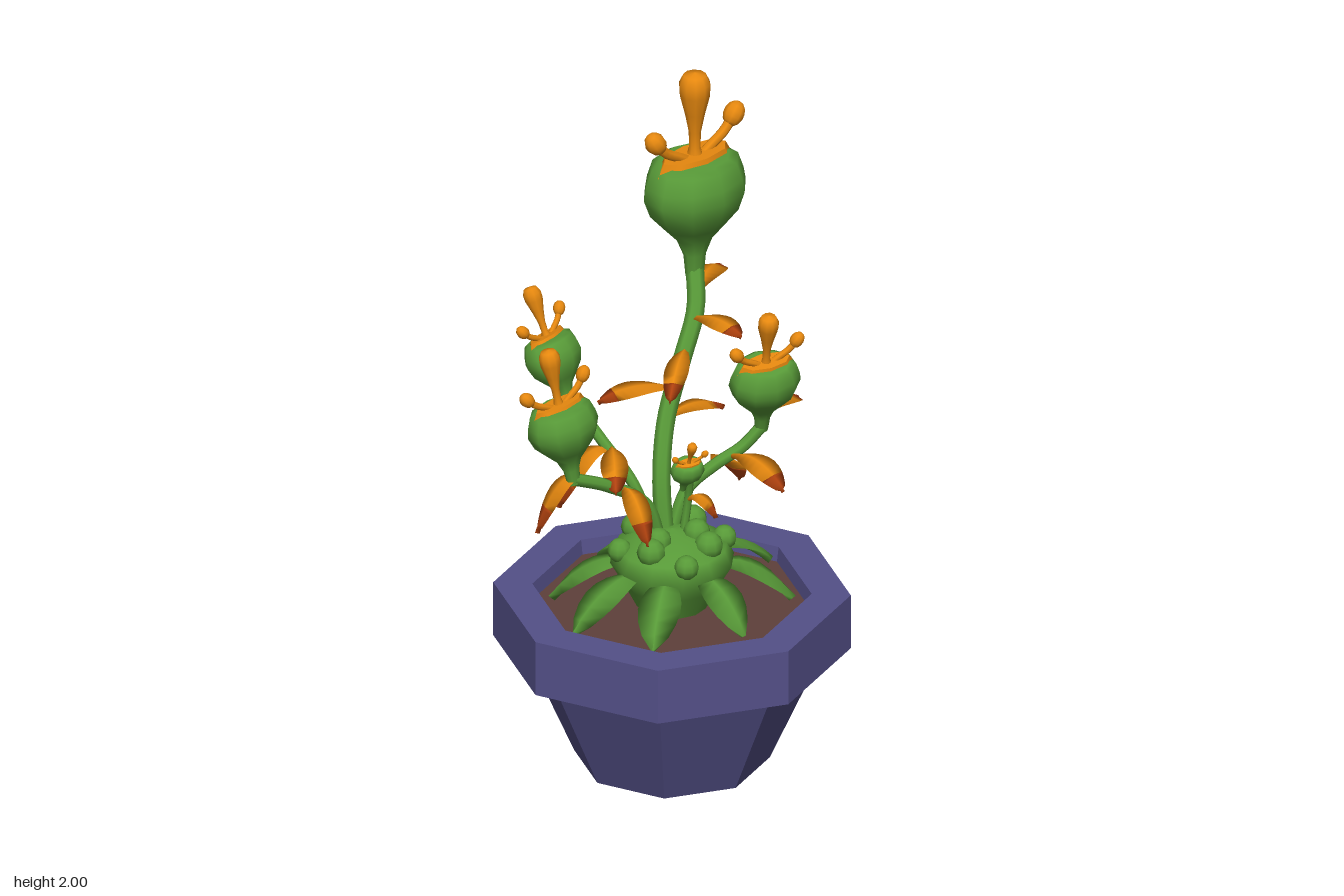
import * as THREE from 'three';

const mat = (name, color) => Object.assign(new THREE.MeshStandardMaterial({ color }), { name });
const V = (a) => new THREE.Vector3(...a);

export function createModel() {
  const root = new THREE.Group();
  root.name = 'pottedPlant';
  const potMat = mat('slate purple', 0x545088);
  const soilMat = mat('soil brown', 0x5e403a);
  const green = mat('leaf green', 0x589a38);
  const orange = mat('petal orange', 0xe6880f);
  const red = mat('tip red', 0xb0420f);

  const add = (parent, geo, material, name) => {
    const m = new THREE.Mesh(geo, material);
    m.name = name;
    parent.add(m);
    return m;
  };
  const lathe = (pts, n) => new THREE.LatheGeometry(pts.map((p) => new THREE.Vector2(...p)), n);
  const tube = (pts, r, n = 16) =>
    new THREE.TubeGeometry(new THREE.CatmullRomCurve3(pts.map(V)), n, r, 7);

  // Octagonal pot with a thick rim
  const pot = lathe([[0, 0], [0.28, 0], [0.44, 0.36], [0.512, 0.36], [0.512, 0.53], [0.4, 0.53], [0.39, 0.46]], 8).toNonIndexed();
  pot.computeVertexNormals();
  add(root, pot, potMat, 'pot');
  const soil = add(root, new THREE.CylinderGeometry(0.395, 0.38, 0.02, 8), soilMat, 'soil');
  soil.position.y = 0.475;

  // Arched blade with a diamond cross-section between t0 and t1 of its length
  const bladeGeo = (base, tip, lift, width, thick, t0, t1) => {
    const a = V(base), b = V(tip);
    const mid = a.clone().lerp(b, 0.5);
    mid.y = Math.max(a.y, b.y) + lift;
    const curve = new THREE.QuadraticBezierCurve3(a, mid, b);
    const h = b.clone().sub(a).setY(0).normalize();
    const side = new THREE.Vector3(h.z, 0, -h.x);
    const pos = [], idx = [], n = 8;
    for (let i = 0; i <= n; i++) {
      const t = t0 + ((t1 - t0) * i) / n;
      const p = curve.getPoint(t);
      const up = curve.getTangent(t).cross(side).normalize();
      const w = width * (0.12 + 0.88 * Math.pow(Math.sin(Math.PI * Math.pow(t, 1.35)), 0.8)) * (t > 0.97 ? 0.3 : 1);
      [[side, w], [up, thick], [side, -w], [up, -thick]].forEach(([d, k]) => pos.push(...p.clone().addScaledVector(d, k).toArray()));
      for (let j = 0; j < 4 && i < n; j++) {
        const q = i * 4 + j, r = i * 4 + ((j + 1) % 4);
        idx.push(q, r, r + 4, q, r + 4, q + 4);
      }
    }
    const e = n * 4;
    idx.push(0, 2, 1, 0, 3, 2, e, e + 1, e + 2, e, e + 2, e + 3);
    const g = new THREE.BufferGeometry();
    g.setAttribute('position', new THREE.Float32BufferAttribute(pos, 3));
    g.setIndex(idx);
    g.computeVertexNormals();
    return g;
  };

  // Rounded crown of the plant with buds and a skirt of leaves
  add(root, lathe([[0.1, 0.48], [0.14, 0.56], [0.18, 0.63], [0.16, 0.675], [0.1, 0.71], [0, 0.725]], 12), green, 'crown');
  for (let i = 0; i < 8; i++) {
    const a = (i * Math.PI) / 4;
    const s = Math.sin(a), c = Math.cos(a);
    add(root, bladeGeo([0.1 * s, 0.61, 0.1 * c], [0.37 * s, 0.5, 0.315 * c], 0.04, 0.062, 0.012, 0, 1), green, 'baseLeaf');
    const b = a + 0.35;
    const r = i % 2 ? 0.155 : 0.12;
    const bud = add(root, new THREE.SphereGeometry(i % 2 ? 0.036 : 0.042, 9, 6), green, 'bud');
    bud.position.set(r * Math.sin(b), i % 2 ? 0.675 : 0.7, r * Math.cos(b));
  }
  for (const [x, z] of [[-0.02, -0.11], [-0.07, 0.02], [0.05, 0.05]]) {
    add(root, new THREE.SphereGeometry(0.04, 9, 6), green, 'bud').position.set(x, 0.715, z);
  }

  // Pod-shaped flower: green head, orange lip and three club-shaped stamens
  const headGeo = lathe([[0.03, -0.27], [0.037, -0.2], [0.058, -0.15], [0.1, -0.105], [0.145, -0.055], [0.165, 0], [0.158, 0.04], [0.14, 0.09], [0.11, 0.105], [0, 0.105]], 10);
  const lipGeo = new THREE.CylinderGeometry(0.115, 0.138, 0.04, 8);
  const clubGeo = lathe([[0.025, 0], [0.017, 0.03], [0.018, 0.08], [0.03, 0.14], [0.045, 0.2], [0.046, 0.235], [0.033, 0.262], [0, 0.27]], 10);
  const armGeo = tube([[0.02, 0.1, 0], [0.06, 0.125, 0], [0.11, 0.155, 0], [0.145, 0.195, 0]], 0.015, 8);
  const tipGeo = new THREE.SphereGeometry(0.031, 9, 7);
  const flower = (center, axis, yaw, s) => {
    const g = new THREE.Group();
    g.name = 'flower';
    add(g, headGeo, green, 'flowerHead').scale.z = 0.79;
    const lip = add(g, lipGeo, orange, 'flowerLip');
    lip.position.y = 0.1;
    lip.scale.z = 0.45;
    add(g, clubGeo, orange, 'tallStamen').position.y = 0.108;
    for (const side of [0, Math.PI]) {
      const arm = new THREE.Group();
      arm.name = 'sideStamen';
      arm.rotation.y = side;
      add(arm, armGeo, orange, 'stamenStalk');
      const ball = add(arm, tipGeo, orange, 'stamenTip');
      ball.position.set(0.147, 0.197, 0);
      ball.rotation.z = -0.6;
      ball.scale.y = 1.25;
      g.add(arm);
    }
    g.position.set(...center);
    g.quaternion.setFromUnitVectors(new THREE.Vector3(0, 1, 0), axis);
    g.rotateY(yaw);
    g.scale.setScalar(s);
    root.add(g);
  };

  // Flowers: centre, axis, yaw, scale, stem radius, stem path up to the head
  const plants = [
    [[0.29, 1.62, -0.24], [0, 1, 0], 0, 1, 0.027,
      [[0, 0.68, -0.03], [0.02, 0.85, -0.07], [0.08, 1.0, -0.12], [0.17, 1.15, -0.155], [0.25, 1.27, -0.19]]],
    [[-0.34, 1.13, -0.08], [-0.13, 1, -0.12], -0.1, 0.67, 0.019,
      [[-0.04, 0.68, 0], [-0.09, 0.83, -0.01], [-0.2, 0.91, -0.04]]],
    [[-0.125, 1.17, -0.375], [-0.13, 1, -0.36], 0.2, 0.58, 0.017,
      [[-0.02, 0.68, -0.05], [-0.06, 0.85, -0.1], [-0.085, 0.95, -0.2], [-0.1, 1.02, -0.29]]],
    [[0.275, 1.135, 0.085], [-0.1, 1, 0.2], -0.25, 0.65, 0.018,
      [[0.02, 0.68, -0.03], [0.08, 0.81, -0.03], [0.16, 0.875, 0], [0.24, 0.92, 0.03]]],
    [[-0.05, 0.975, 0.125], [-0.15, 1, 0.42], -0.3, 0.31, 0.012,
      [[0.03, 0.68, 0.01], [0.045, 0.83, 0.02], [0.02, 0.915, 0.05]]],
  ];
  for (const [center, dir, yaw, s, r, path] of plants) {
    const axis = V(dir).normalize();
    const end = V(center).addScaledVector(axis, -0.25 * s).toArray();
    add(root, tube([...path, end], r, 24), green, 'stem');
    flower(center, axis, yaw, s);
  }

  // Arching stem leaves with red tips: base, tip, half width
  const stemLeaves = [
    [[0.26, 1.31, -0.2], [0.465, 1.28, -0.33], 0.045],
    [[0.23, 1.25, -0.18], [0.26, 1.25, 0], 0.045],
    [[0.19, 1.17, -0.16], [0, 1.12, -0.01], 0.035],
    [[0.12, 1.08, -0.13], [-0.09, 1.07, -0.22], 0.05],
    [[0.08, 1.0, -0.12], [0.28, 0.98, -0.1], 0.04],
    [[0.28, 1.0, 0.04], [0.49, 0.97, -0.02], 0.055],
    [[0.2, 0.9, 0.03], [0.23, 0.85, 0.22], 0.052],
    [[0.15, 0.87, 0], [0.29, 0.77, -0.04], 0.05],
    [[-0.28, 0.96, -0.06], [-0.42, 0.81, -0.1], 0.04],
    [[-0.16, 0.89, -0.03], [-0.185, 0.77, 0.11], 0.04],
    [[-0.08, 0.94, -0.17], [-0.21, 0.9, 0], 0.04],
    [[-0.08, 0.93, -0.18], [-0.22, 0.77, -0.24], 0.055],
    [[0.04, 0.81, 0.02], [0.08, 0.77, 0.1], 0.032],
  ];
  for (const [base, tip, w] of stemLeaves) {
    add(root, bladeGeo(base, tip, 0.045, w, 0.008, 0, 0.78), orange, 'stemLeaf');
    add(root, bladeGeo(base, tip, 0.045, w, 0.008, 0.78, 1), red, 'stemLeafTip');
  }
  return root;
}
